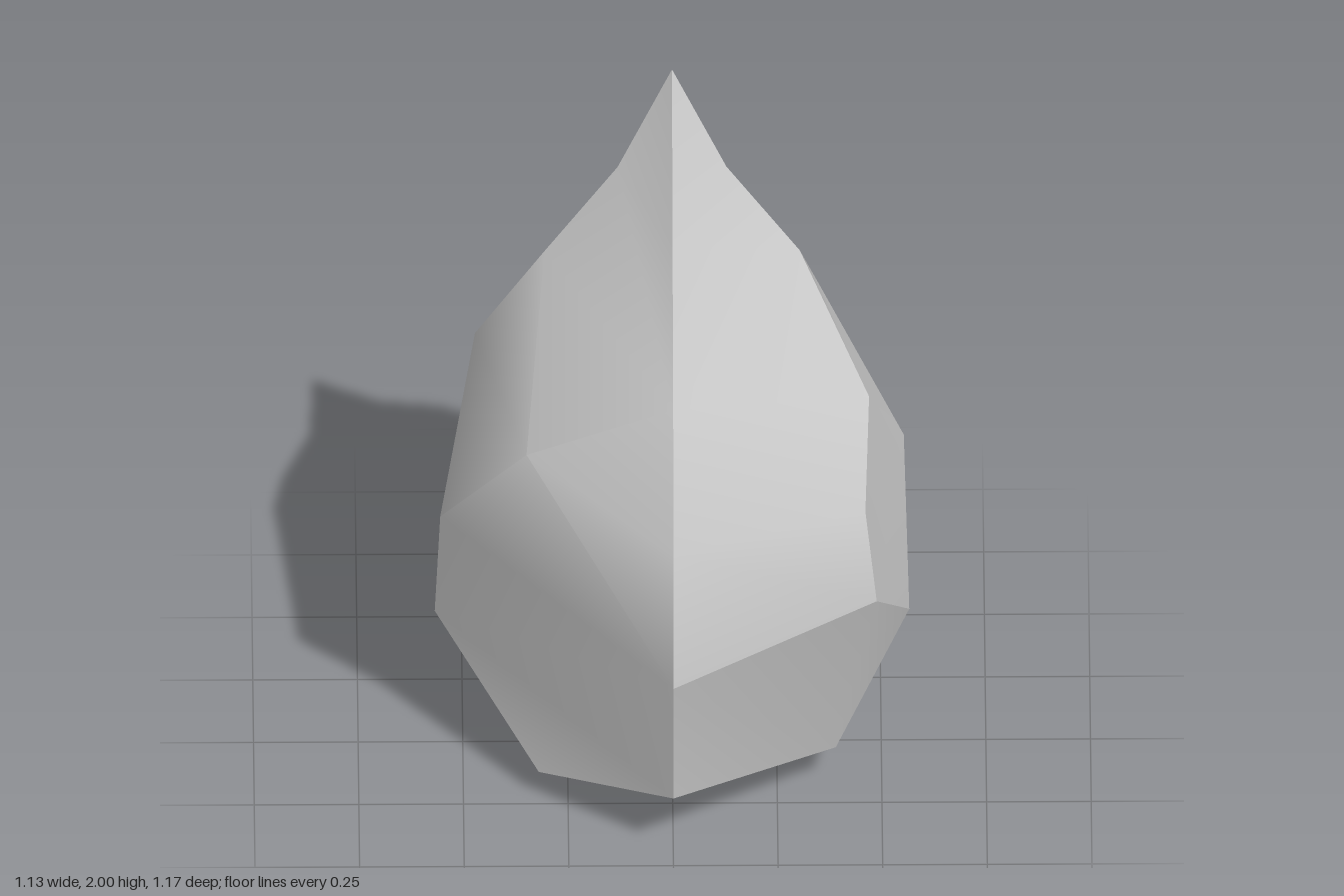
import * as THREE from 'three';
import { toCreasedNormals } from 'three/addons/utils/BufferGeometryUtils.js';

// Corners of one half; the other half is the same turned 180 degrees about y.
const corners = {
  tip: [0, 2, 0],
  // front ridge, top to bottom
  m1: [0, 1.62, 0.19], m2: [0, 1.29, 0.41], m3: [0, 0.96, 0.545], m4: [0, 0.59, 0.585], m5: [0, 0.2, 0.5],
  // back ridge
  n1: [0, 1.62, -0.19], n2: [0, 1.29, -0.41], n3: [0, 0.96, -0.545], n4: [0, 0.59, -0.585], n5: [0, 0.2, -0.5],
  // side ridge, curling forward and then back under
  s1: [0.13, 1.71, 0], s2: [0.305, 1.46, 0], s3: [0.47, 1.12, 0.13], s4: [0.46, 0.91, 0.31],
  s5: [0.487, 0.655, 0.325], s6: [0.567, 0.39, 0], s7: [0.555, 0.79, -0.16], s8: [0.35, 1.11, -0.345],
  // base
  c1: [0.39, 0.12, 0.19], c2: [0.32, 0.08, -0.23],
  d1: [0, 0, 0.1], d2: [0.1, 0, 0], d3: [0, 0, -0.1], d0: [0, 0, 0],
};

// Each patch lists polygons, which are fanned from their first corner.
const patches = {
  frontFacet: ['tip m1 s1', 'm1 m2 s2 s1', 'm2 m3 s3 s2', 'm3 s4 s3', 'm3 m4 s5 s4'],
  lowerFacet: ['m4 m5 c1 s5', 's5 c1 s6'],
  sideAndBackFacet: [
    'tip s1 n1', 's1 s2 n2 n1', 's2 s3 s8 n2', 'n2 s8 n3',
    's7 s8 s3 s4', 's7 s4 s5 s6',
    'n4 n5 s6 s7 s8 n3', 'n5 c2 s6',
  ],
  base: ['m5 d1 c1', 'd1 d2 c1', 's6 c1 c2', 'c1 d2 c2', 'c2 d2 d3', 'c2 d3 n5', 'd0 d1 d2 d3'],
};

// Builds a patch, turning every triangle to face away from the core.
function patchGeometry(polygons) {
  const core = new THREE.Vector3(0, 0.7, 0);
  const points = [];
  for (const polygon of polygons) {
    const p = polygon.split(' ').map((name) => new THREE.Vector3(...corners[name]));
    for (let i = 1; i < p.length - 1; i++) {
      const [a, b, c] = [p[0], p[i], p[i + 1]];
      const normal = b.clone().sub(a).cross(c.clone().sub(a));
      const outward = normal.dot(a.clone().sub(core)) > 0;
      points.push(a, ...(outward ? [b, c] : [c, b]));
    }
  }
  const geometry = new THREE.BufferGeometry().setFromPoints(points);
  return toCreasedNormals(geometry, THREE.MathUtils.degToRad(40));
}

export function createModel() {
  const stone = new THREE.MeshStandardMaterial({ color: 0xcccccc });
  stone.name = 'pale grey stone';

  const half = new THREE.Group();
  half.name = 'leftHalf';
  for (const [name, polygons] of Object.entries(patches)) {
    const mesh = new THREE.Mesh(patchGeometry(polygons), stone);
    mesh.name = name;
    half.add(mesh);
  }

  const otherHalf = half.clone();
  otherHalf.name = 'rightHalf';
  otherHalf.rotation.y = Math.PI;

  const model = new THREE.Group();
  model.name = 'facetedDrop';
  model.add(half, otherHalf);
  return model;
}
